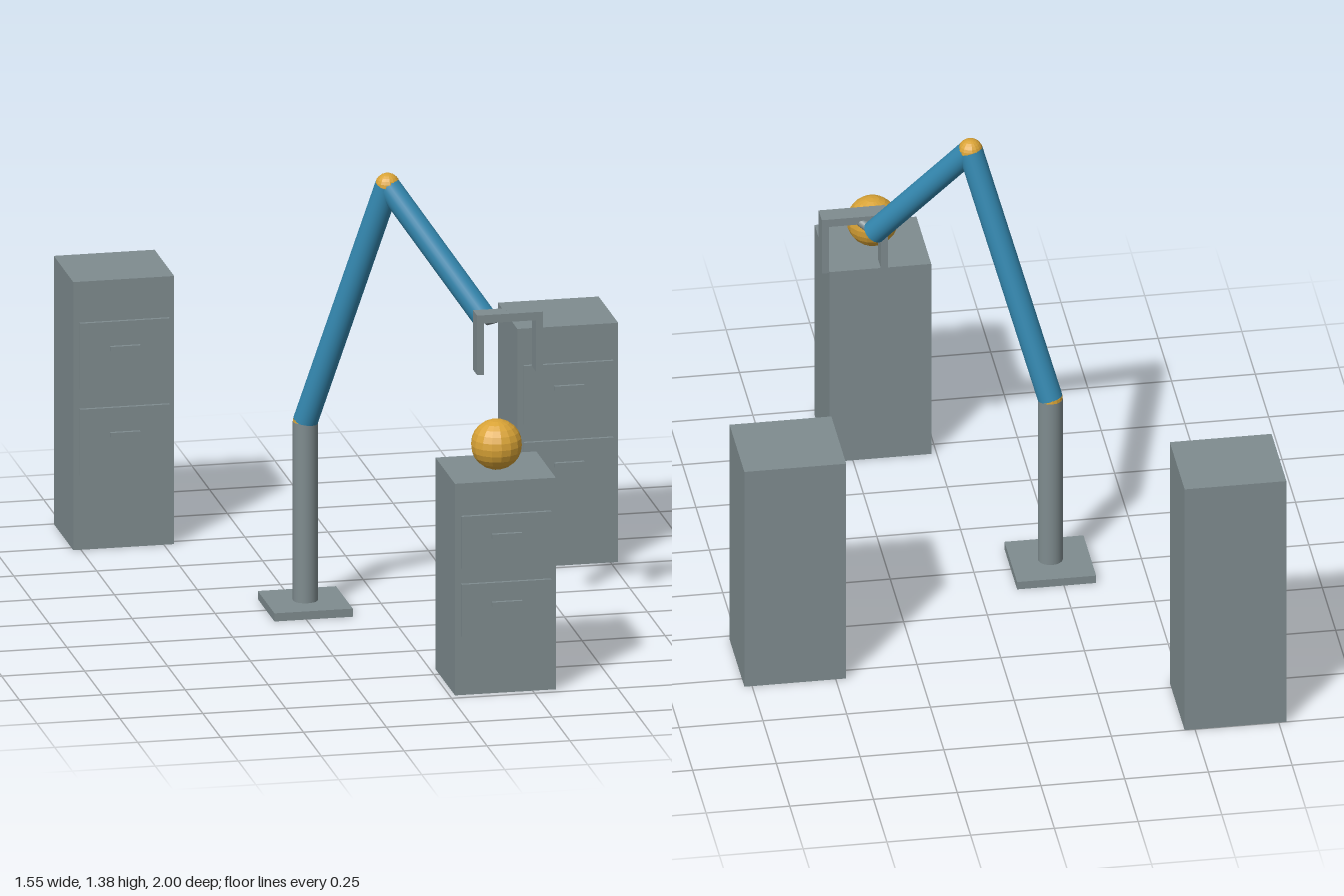
import * as THREE from 'three';

export function createModel() {
  const model = new THREE.Group();
  const mat = (name, color, flatShading = false) => {
    const m = new THREE.MeshStandardMaterial({ color, flatShading });
    m.name = name;
    return m;
  };
  const grey = mat('steel grey', 0x7f8c8f);
  const blue = mat('arm blue', 0x3488b0);
  const gold = mat('gold', 0xd9a336, true);

  const add = (parent, name, geometry, material, x, y, z) => {
    const mesh = new THREE.Mesh(geometry, material);
    mesh.name = name;
    mesh.position.set(x, y, z);
    parent.add(mesh);
    return mesh;
  };
  const box = (parent, name, w, h, d, x, y, z) =>
    add(parent, name, new THREE.BoxGeometry(w, h, d), grey, x, y, z);

  // Cylinder running between two points
  const rod = (parent, name, a, b, r, material) => {
    const dir = b.clone().sub(a);
    const mid = a.clone().add(b).multiplyScalar(0.5);
    const mesh = add(parent, name, new THREE.CylinderGeometry(r, r, dir.length(), 24), material, mid.x, mid.y, mid.z);
    mesh.quaternion.setFromUnitVectors(new THREE.Vector3(0, 1, 0), dir.normalize());
  };

  // Two-drawer cabinets: centre x, height, z of the front face
  const depth = 0.277;
  const cabinets = [
    [-0.621, 0.825, -0.723],
    [0.621, 0.736, -0.27],
    [0.168, 0.651, 0.973],
  ];
  for (const [x, h, front] of cabinets) {
    const cabinet = new THREE.Group();
    cabinet.name = 'cabinet';
    cabinet.position.set(x, 0, front);
    box(cabinet, 'cabinetBody', 0.304, h, depth, 0, h / 2, -depth / 2);
    for (const level of [0.405, 0.726]) {
      box(cabinet, 'drawerFront', 0.27, 0.247 * h, 0.011, 0, level * h, 0.0105);
      box(cabinet, 'drawerHandle', 0.09, 0.014, 0.011, 0, (level + 0.025) * h, 0.0215);
    }
    model.add(cabinet);
  }

  // Robot arm: plate, column, two links with ball joints
  const arm = new THREE.Group();
  arm.name = 'robotArm';
  model.add(arm);
  const shoulder = new THREE.Vector3(-0.228, 0.575, 0);
  const elbow = new THREE.Vector3(-0.018, 1.34, 0.178);
  const wrist = new THREE.Vector3(0.237, 0.966, 0.38);
  const grip = new THREE.Vector3(0.291, 0.995, 0.431);
  box(arm, 'basePlate', 0.236, 0.025, 0.236, shoulder.x, 0.0125, 0);
  rod(arm, 'column', new THREE.Vector3(shoulder.x, 0.025, 0), shoulder, 0.037, grey);
  rod(arm, 'upperArm', shoulder, elbow, 0.037, blue);
  rod(arm, 'forearm', elbow, wrist, 0.036, blue);
  rod(arm, 'wristRod', wrist, grip, 0.014, grey);
  for (const [name, p] of [['shoulderJoint', shoulder], ['elbowJoint', elbow]])
    add(arm, name, new THREE.SphereGeometry(0.037, 16, 12), gold, p.x, p.y, p.z);

  // Gripper: crossbar with two hanging fingers
  const gripper = new THREE.Group();
  gripper.name = 'gripper';
  gripper.position.copy(grip);
  box(gripper, 'crossbar', 0.198, 0.025, 0.058, 0, 0, 0);
  for (const side of [-1, 1])
    box(gripper, 'finger', 0.021, 0.16, 0.058, side * 0.0885, -0.0905, 0);
  arm.add(gripper);

  // Ball resting on the front cabinet
  add(model, 'ball', new THREE.SphereGeometry(0.076, 16, 12), gold, 0.168, 0.727, 0.846);

  return model;
}
